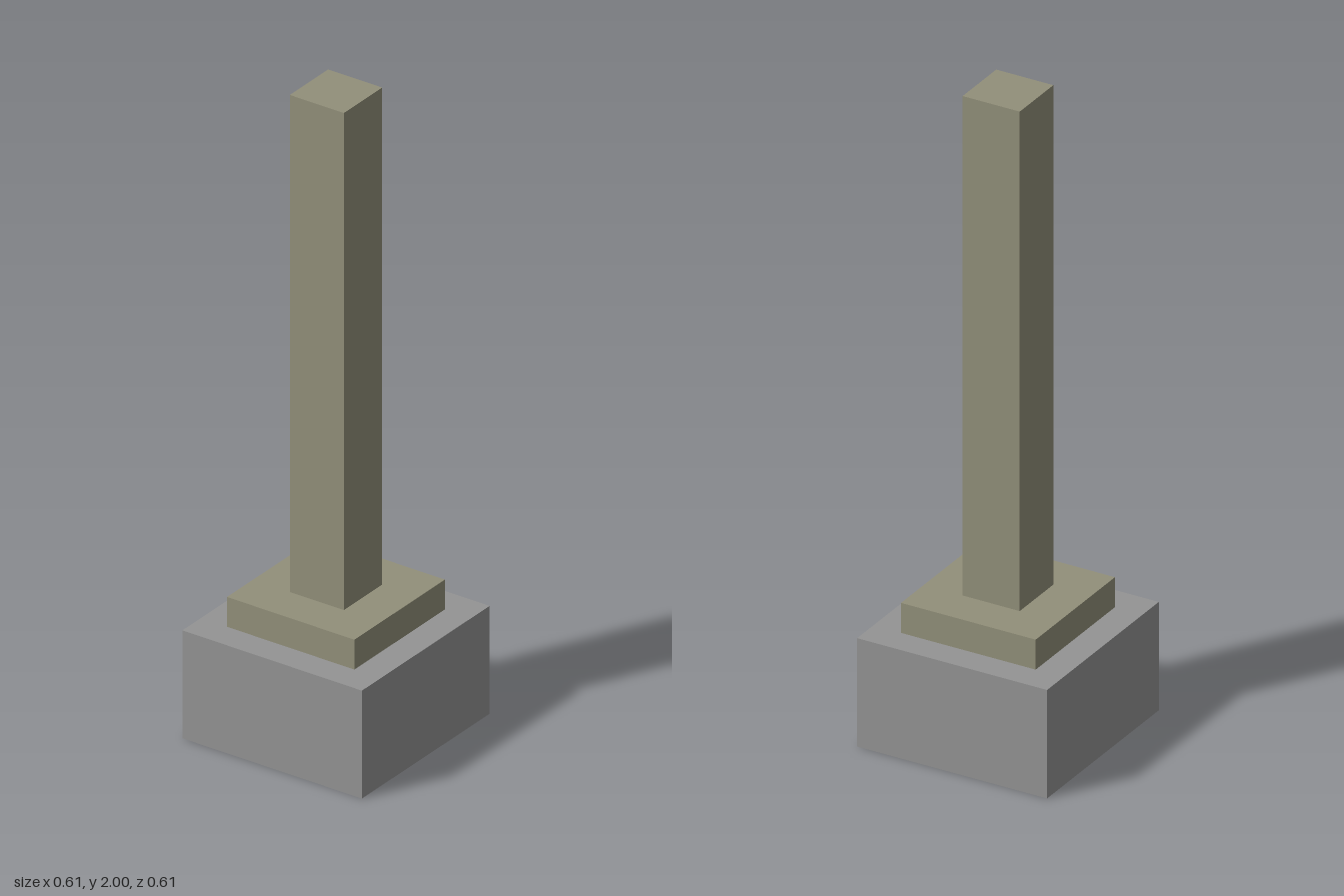
import * as THREE from 'three';

export function createModel() {
  const model = new THREE.Group();
  model.name = 'squarePost';

  const concrete = new THREE.MeshStandardMaterial({ color: 0x949494 });
  concrete.name = 'concrete grey';
  const olive = new THREE.MeshStandardMaterial({ color: 0x92907a });
  olive.name = 'olive metal';

  // A square block standing between two heights
  function addBlock(name, width, bottom, top, material) {
    const mesh = new THREE.Mesh(new THREE.BoxGeometry(width, top - bottom, width), material);
    mesh.name = name;
    mesh.position.y = (bottom + top) / 2;
    model.add(mesh);
  }

  addBlock('footing', 0.612, 0, 0.34, concrete);
  addBlock('basePlate', 0.434, 0.34, 0.434, olive);
  addBlock('post', 0.184, 0.434, 2, olive);

  return model;
}
